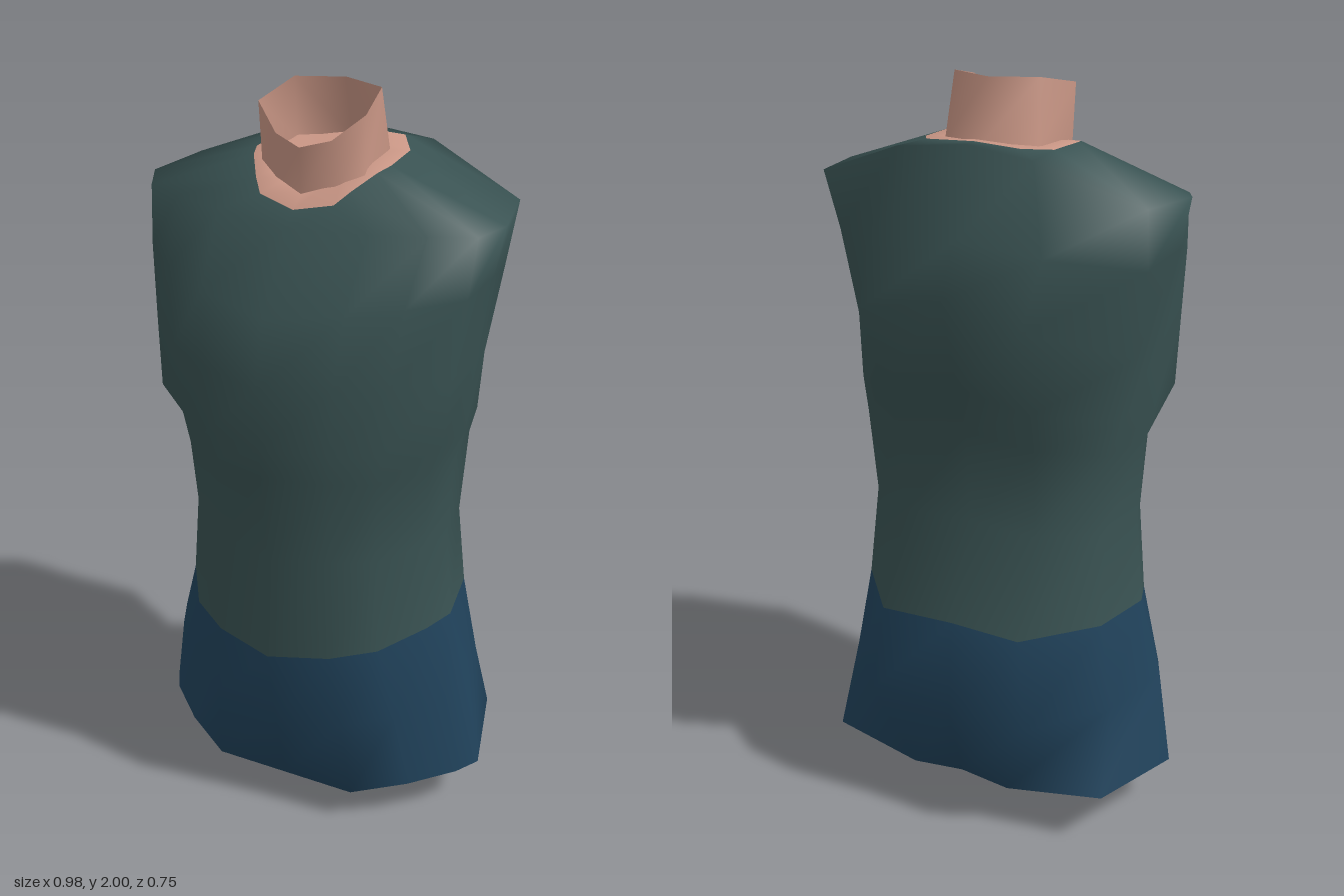
import * as THREE from 'three';

const paint = (name, color) => {
  const m = new THREE.MeshStandardMaterial({ color, side: THREE.DoubleSide });
  m.name = name;
  return m;
};

// Half outline of the body, from front centre round the left side to back centre:
// x as a share of half width, z as a share of front (+) or back (-) depth,
// and how far the height follows the front or back instead of the side
const OUTLINE = [
  [0, 1, 1], [0.42, 0.86, 0.69], [0.70, 0.68, 0.46], [0.92, 0.30, 0.08],
  [1, 0.04, 0], [0.93, -0.58, 0.1], [0.52, -1, 0.6], [0, -0.97, 1],
];
const N = 14;

// Each ring: height at front, side, back; half width; front depth; back depth;
// front flatness; corners that leave the common outline
const RINGS = [
  [0.10, 0.14, 0.13, 0.49, 0.25, 0.30, 1, { 1: [0.206, 0.10, 0.25], 5: [0.41, 0.15, -0.265], 6: [0.145, 0.12, -0.30] }],
  [0.32, 0.40, 0.34, 0.45, 0.30, 0.37, 0.6, { 5: [0.395, 0.38, -0.185] }],
  [0.55, 0.61, 0.61, 0.39, 0.34, 0.35, 0.2, { 5: [0.355, 0.61, -0.17] }],
  [0.85, 0.85, 0.86, 0.37, 0.33, 0.235, 0],
  [1.10, 1.08, 1.12, 0.385, 0.36, 0.26, 0],
  [1.18, 1.17, 1.25, 0.41, 0.366, 0.30, 0, { 3: [0.405, 1.19, 0.155], 5: [0.385, 1.17, -0.13] }],
  [1.35, 1.38, 1.50, 0.43, 0.375, 0.38, 0, { 3: [0.42, 1.37, 0.14], 5: [0.405, 1.34, -0.11] }],
  [1.52, 1.60, 1.63, 0.465, 0.335, 0.305, 0, { 3: [0.44, 1.57, 0.115], 5: [0.44, 1.57, -0.13] }],
  [1.71, 1.73, 1.855, 0.49, 0.205, 0.245, 0, { 3: [0.45, 1.72, 0.09], 5: [0.455, 1.735, -0.175], 6: [0.19, 1.835, -0.245] }],
  [1.745, 1.835, 1.855, 0.185, 0.17, 0.20, 0, { 1: [0.10, 1.765, 0.15], 5: [0.18, 1.838, -0.12], 6: [0.13, 1.85, -0.20] }],
  [1.775, 1.835, 1.85, 0.13, 0.12, 0.14, 0],
];

function ringPoints([yF, yS, yB, w, zf, zb, flat, corners = {}]) {
  const half = OUTLINE.map(([fx, fz, lift], k) => {
    if (corners[k]) return corners[k];
    const share = k === 1 ? fz + (1 - fz) * flat : fz;
    const y = yS + ((fz > 0 ? yF : yB) - yS) * lift;
    return [fx * w, y, share * (fz > 0 ? zf : zb)];
  });
  return mirrorLoop(half);
}

// Closes a half loop with its mirror image across x = 0
function mirrorLoop(half) {
  return [...half, ...half.slice(1, -1).reverse().map(([x, y, z]) => [-x, y, z])];
}

function quad(list, a, b, c, d) {
  list.push(a, b, c, a, c, d);
}

function band(list, row, count) {
  for (let j = 0; j < count; j++) {
    const k = (j + 1) % count, lo = row * count, hi = lo + count;
    quad(list, lo + j, lo + k, hi + k, hi + j);
  }
}

function surface(points, index) {
  const g = new THREE.BufferGeometry();
  g.setAttribute('position', new THREE.Float32BufferAttribute(points.flat(), 3));
  g.setIndex(index);
  g.computeVertexNormals();
  return g;
}

export function createModel() {
  const model = new THREE.Group();
  model.name = 'torso';
  const shirtGreen = paint('shirt green', 0x395252);
  const shortsBlue = paint('shorts blue', 0x21435c);
  const skin = paint('skin', 0xc99685);

  const add = (name, geometry, material) => {
    const mesh = new THREE.Mesh(geometry, material);
    mesh.name = name;
    model.add(mesh);
  };

  // Body rings, three points across the lowest part of the crotch, and the top centre
  const points = RINGS.flatMap(ringPoints);
  const m = points.length;
  points.push([-0.05, 0, 0], [0, 0, 0], [0.05, 0, 0], [0, 1.825, -0.01]);

  const shorts = [], shirt = [], collar = [];
  for (let r = 0; r < RINGS.length - 1; r++) {
    band(r < 2 ? shorts : r < 9 ? shirt : collar, r, N);
  }

  // Crotch strip between the two open leg holes
  const front = [13, 0, 1], middle = [m, m + 1, m + 2], back = [8, 7, 6];
  for (let k = 0; k < 2; k++) {
    quad(shorts, middle[k], middle[k + 1], front[k + 1], front[k]);
    quad(shorts, back[k], back[k + 1], middle[k + 1], middle[k]);
  }

  // Skin closes the body under the neck
  for (let j = 0; j < N; j++) collar.push(m + 3, m - N + j, m - N + (j + 1) % N);

  // The three cloth and skin zones share smooth normals
  const whole = surface(points, [...shorts, ...shirt, ...collar]);
  const zone = (name, index, material) => {
    const g = whole.clone();
    g.setIndex(index);
    add(name, g, material);
  };
  zone('shorts', shorts, shortsBlue);
  zone('shirt', shirt, shirtGreen);
  zone('collar', collar, skin);

  // Open neck: base, then slanted rim
  const base = mirrorLoop([[0, 1.765, 0.125], [0.08, 1.77, 0.1], [0.14, 1.795, 0.06], [0.13, 1.83, -0.11], [0, 1.84, -0.165]]);
  const rim = mirrorLoop([[0, 1.89, 0.135], [0.075, 1.91, 0.112], [0.145, 1.97, 0.068], [0.12, 2, -0.075], [0, 2, -0.125]]);
  const neck = [];
  band(neck, 0, base.length);
  add('neck', surface([...base, ...rim], neck), skin);

  return model;
}
